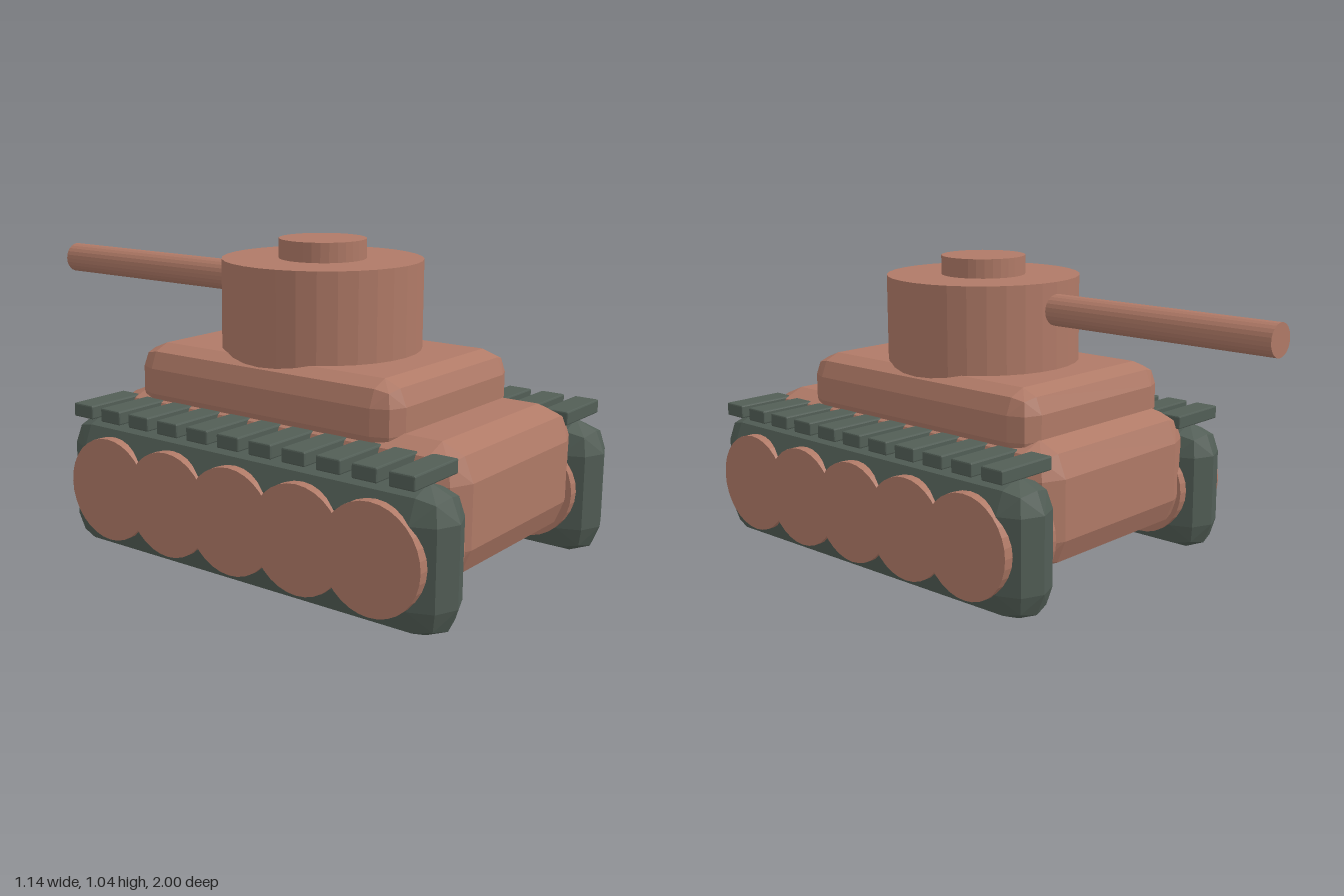
import * as THREE from 'three';
import { ConvexGeometry } from 'three/addons/geometries/ConvexGeometry.js';

const clay = new THREE.MeshStandardMaterial({ color: 0xb07a67, flatShading: true });
const green = new THREE.MeshStandardMaterial({ color: 0x525e56, flatShading: true });

// Box with two-step rounded edges, given by its [min, max] range on each axis
function bevelBox([x0, x1], [y0, y1], [z0, z1], r) {
  const points = [];
  const steps = [0, 1];
  for (const sx of [-1, 1]) for (const sy of [-1, 1]) for (const sz of [-1, 1]) {
    const corner = new THREE.Vector3(
      sx < 0 ? x0 + r : x1 - r, sy < 0 ? y0 + r : y1 - r, sz < 0 ? z0 + r : z1 - r);
    for (const a of steps) for (const b of steps) for (const c of steps) {
      if (a + b + c === 0) continue;
      points.push(new THREE.Vector3(a * sx, b * sy, c * sz).setLength(r).add(corner));
    }
  }
  return new ConvexGeometry(points);
}

export function createModel() {
  const tank = new THREE.Group();
  tank.name = 'tank';

  function add(name, geometry, material, parent = tank) {
    const mesh = new THREE.Mesh(geometry, material);
    mesh.name = name;
    parent.add(mesh);
    return mesh;
  }

  // Hull and raised upper deck
  add('hull', bevelBox([-0.4, 0.4], [0.112, 0.53], [-0.44, 0.942], 0.108), clay);
  add('upperDeck', bevelBox([-0.364, 0.364], [0.445, 0.686], [-0.336, 0.705], 0.078), clay);

  // Turret, hatch and gun
  add('turret', new THREE.CylinderGeometry(0.333, 0.333, 0.4, 32), clay).position.set(0, 0.78, 0.18);
  add('hatch', new THREE.CylinderGeometry(0.145, 0.145, 0.1, 32), clay).position.set(0, 0.995, 0.18);
  const barrel = add('barrel', new THREE.CylinderGeometry(0.053, 0.053, 0.95, 24), clay);
  barrel.rotation.x = Math.PI / 2;
  barrel.position.set(0, 0.887, -0.525);

  // Running gear on both sides
  const wheelGeometry = new THREE.CylinderGeometry(0.172, 0.172, 0.235, 32).rotateZ(Math.PI / 2);
  const trackGeometry = bevelBox([-0.104, 0.104], [0, 0.458], [-0.492, 0.998], 0.104);
  const plateGeometry = bevelBox([-0.114, 0.114], [-0.023, 0.023], [-0.043, 0.043], 0.005);
  for (const side of [-1, 1]) {
    const gear = new THREE.Group();
    gear.name = side > 0 ? 'leftRunningGear' : 'rightRunningGear';
    gear.position.x = side * 0.451;
    tank.add(gear);

    add('track', trackGeometry, green, gear);
    for (let i = 0; i < 5; i++) {
      add('wheel', wheelGeometry, clay, gear).position.set(0, 0.233, -0.266 + i * 0.26);
    }
    for (let i = 0; i < 11; i++) {
      add('trackPlate', plateGeometry, green, gear).position.set(0, 0.482, -0.38 + i * 0.1255);
    }
  }
  return tank;
}
